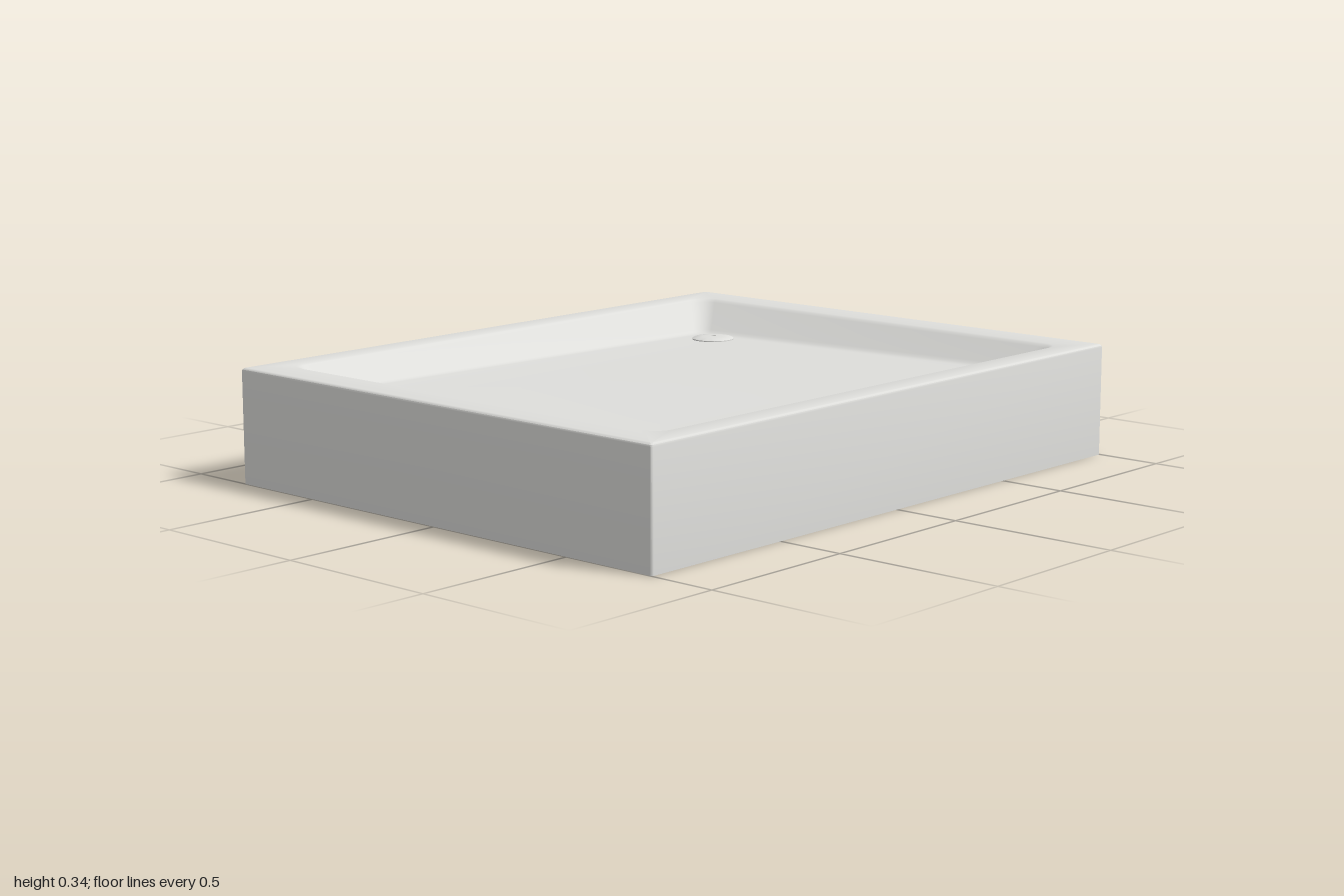
import * as THREE from 'three';
import { toCreasedNormals } from 'three/addons/utils/BufferGeometryUtils.js';

const FLOOR_DROP = 0.022;

// Rounded rectangle ring, counter-clockwise from above: half width, half depth, height, corner radius.
// Sloped rings sink towards the drain corner and move in along the wall as they sink.
function ring([w, d, y, r, sloped]) {
  const points = [];
  const steps = 6;
  for (let corner = 0; corner < 4; corner++) {
    const sx = corner === 0 || corner === 3 ? 1 : -1;
    const sz = corner < 2 ? -1 : 1;
    for (let i = 0; i <= steps; i++) {
      const a = (corner + i / steps) * Math.PI / 2;
      let x = sx * (w - r) + r * Math.cos(a);
      let z = sz * (d - r) - r * Math.sin(a);
      let h = y;
      if (sloped) {
        const drop = FLOOR_DROP * (x + 0.8) / 1.6 * (0.64 - z) / 1.28;
        h -= drop;
        x -= drop * Math.max(0, x) / 0.8;
        z -= drop * Math.min(0, z) / 0.64;
      }
      points.push([x, h, z]);
    }
  }
  return points;
}

// Skin a list of rings
function loft(sections) {
  const rings = sections.map(ring);
  const n = rings[0].length;
  const position = [];
  const index = [];
  rings.forEach((points) => points.forEach((p) => position.push(...p)));
  for (let i = 0; i < rings.length - 1; i++) {
    for (let j = 0; j < n; j++) {
      const a = i * n + j;
      const b = i * n + (j + 1) % n;
      index.push(a, b, b + n, a, b + n, a + n);
    }
  }
  const geometry = new THREE.BufferGeometry();
  geometry.setAttribute('position', new THREE.Float32BufferAttribute(position, 3));
  geometry.setIndex(index);
  return toCreasedNormals(geometry, 0.6);
}

export function createModel() {
  const model = new THREE.Group();
  model.name = 'showerTray';

  const white = new THREE.MeshStandardMaterial({ color: 0xdededb });
  white.name = 'white';
  const beige = new THREE.MeshStandardMaterial({ color: 0xdcd3b8 });
  beige.name = 'beige';

  const add = (name, geometry, material, x = 0, y = 0, z = 0) => {
    const mesh = new THREE.Mesh(geometry, material);
    mesh.name = name;
    mesh.position.set(x, y, z);
    model.add(mesh);
  };

  // Skirt, rim, sloping basin walls and floor
  add('tray', loft([
    [0.975, 0.775, 0, 0.003],
    [1, 0.8, 0, 0.006],
    [1, 0.8, 0.33, 0.006],
    [0.9987, 0.7987, 0.335, 0.006],
    [0.995, 0.795, 0.3387, 0.006],
    [0.99, 0.79, 0.34, 0.006],
    [0.895, 0.72, 0.34, 0.06],
    [0.885, 0.712, 0.337, 0.058],
    [0.876, 0.705, 0.33, 0.056],
    [0.815, 0.655, 0.277, 0.045, true],
    [0.805, 0.646, 0.27, 0.043, true],
    [0.795, 0.637, 0.266, 0.041, true],
    [0.78, 0.622, 0.265, 0.04, true],
    [0.52, 0.415, 0.265, 0.03, true],
    [0.26, 0.21, 0.265, 0.02, true],
    [0, 0, 0.265, 0, true],
  ]), white);

  // Hollow underside: ceiling and inner faces of the skirt
  add('underside', loft([
    [0, 0, 0.135, 0],
    [0.975, 0.775, 0.135, 0.003],
    [0.975, 0.775, 0, 0.003],
  ]), beige);

  // Support block with a round cut-out around the drain
  const w = 0.873, d = 0.673, cx = 0.7, cz = 0.5, r = 0.295;
  const dx = w - cx, dz = d - cz;
  const shape = new THREE.Shape();
  shape.moveTo(-w, -d);
  shape.lineTo(w, -d);
  shape.lineTo(w, cz - Math.sqrt(r * r - dx * dx));
  shape.absarc(cx, cz, r,
    Math.atan2(-Math.sqrt(r * r - dx * dx), dx),
    Math.atan2(dz, -Math.sqrt(r * r - dz * dz)), true);
  shape.lineTo(-w, d);
  const block = new THREE.ExtrudeGeometry(shape, { depth: 0.135, bevelEnabled: false, curveSegments: 40 });
  block.rotateX(-Math.PI / 2);
  add('supportBlock', toCreasedNormals(block, 0.6), white);

  // Drain cover with a small central hole
  const profile = [
    [0.067, 0.235], [0.067, 0.25], [0.062, 0.253], [0.035, 0.256],
    [0.01, 0.257], [0.008, 0.25], [0, 0.25],
  ].map(([x, y]) => new THREE.Vector2(x, y));
  add('drainCover', toCreasedNormals(new THREE.LatheGeometry(profile, 40), 0.6), white, cx, 0, -cz);

  // Drain outlet seen from below
  [[0.085, 0.132], [0.05, 0.128]].forEach(([radius, y]) =>
    add('drainOutlet', new THREE.CylinderGeometry(radius, radius, 0.008, 40), beige, cx, y, -cz));

  return model;
}
